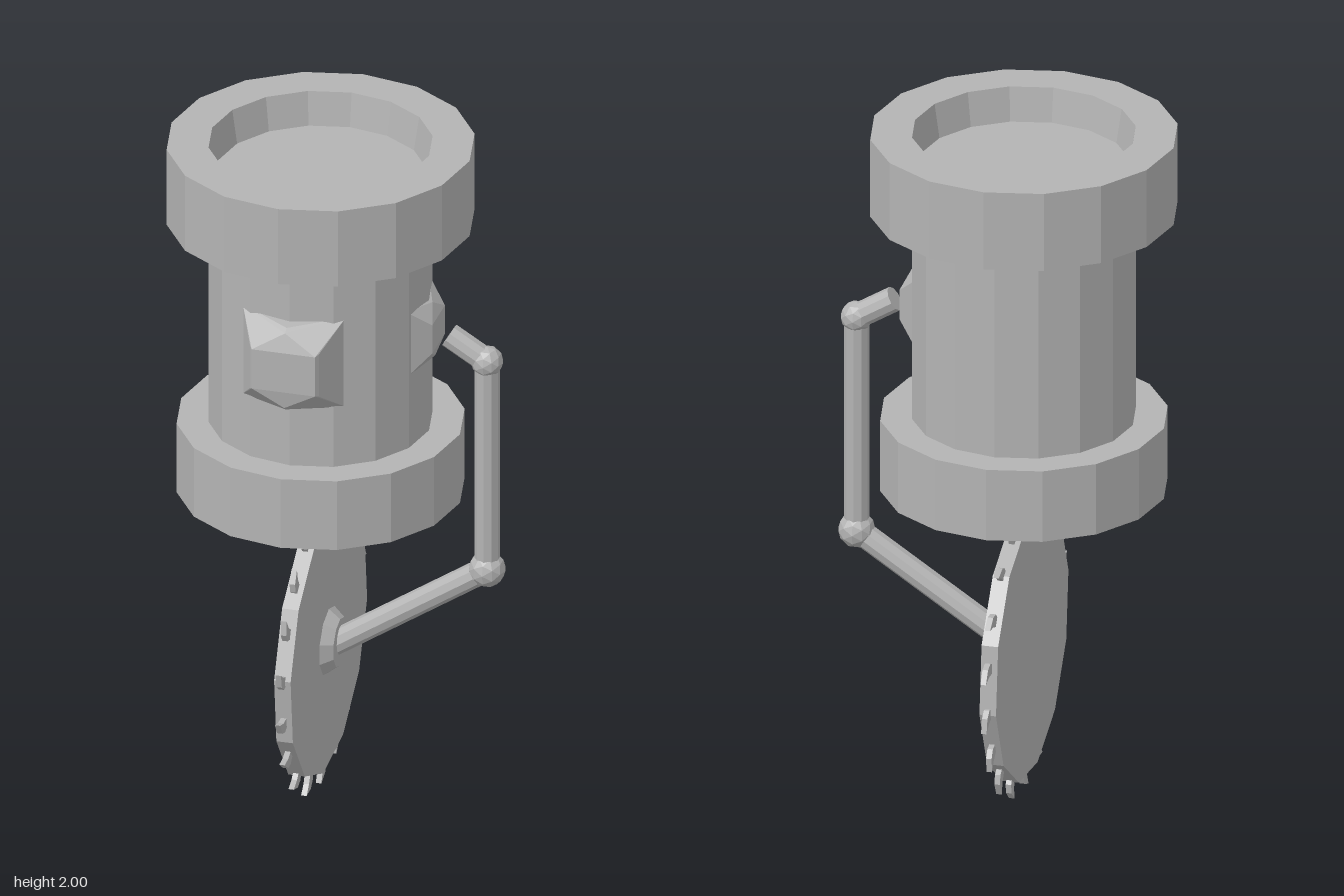
import * as THREE from 'three';
import { ConvexGeometry } from 'three/addons/geometries/ConvexGeometry.js';

const AXIS_X = -0.054;

export function createModel() {
  const model = new THREE.Group();
  const grey = new THREE.MeshStandardMaterial({ color: 0xb3b3b3, flatShading: true });
  grey.name = 'plain grey';

  const add = (name, geometry, parent = model) => {
    const mesh = new THREE.Mesh(geometry, grey);
    mesh.name = name;
    parent.add(mesh);
    return mesh;
  };

  // Sixteen-sided housing, profiles run from the bottom up
  const housing = new THREE.Group();
  housing.name = 'housing';
  housing.position.x = AXIS_X;
  model.add(housing);
  const turn = (name, profile) =>
    add(name, new THREE.LatheGeometry(profile.map(([r, y]) => new THREE.Vector2(r, y)), 16), housing);
  turn('lowerCollar', [[0, 0.925], [0.405, 0.925], [0.405, 1.14], [0.3, 1.14]]);
  turn('body', [[0.315, 1.13], [0.315, 1.77]]);
  turn('upperCollar', [[0.3, 1.765], [0.433, 1.765], [0.433, 2], [0.315, 2], [0.298, 1.9], [0, 1.9]]);

  // Hexagonal bosses swelling out of the body
  const boss = (name, y, halfWidth, halfHeight, hexX, hexY, front, angle) => {
    const base = Math.sqrt(0.305 ** 2 - halfWidth ** 2);
    const points = [];
    for (const sx of [-1, 1]) for (const sy of [-1, 1]) {
      points.push(new THREE.Vector3(sx * halfWidth, sy * halfHeight, base));
      points.push(new THREE.Vector3(sx * hexX, sy * hexY * 0.53, front - 0.012));
      points.push(new THREE.Vector3(sx * hexX * 0.92, sy * hexY * 0.49, front));
    }
    points.push(new THREE.Vector3(0, hexY, front - 0.033));
    points.push(new THREE.Vector3(0, hexY * 0.92, front - 0.018));
    points.push(new THREE.Vector3(0, -hexY, front - 0.022));
    points.push(new THREE.Vector3(0, -hexY * 0.92, front - 0.01));
    const mesh = add(name, new ConvexGeometry(points), housing);
    mesh.position.y = y;
    mesh.rotation.y = angle;
  };
  boss('frontBoss', 1.46, 0.15, 0.14, 0.1, 0.125, 0.378, 0);
  boss('armBoss', 1.46, 0.12, 0.105, 0.07, 0.09, 0.343, Math.PI / 2);

  // Jointed arm
  const path = [[0.32, 1.447], [0.43, 1.38], [0.43, 0.73], [-0.015, 0.435]]
    .map(([x, y]) => new THREE.Vector3(x, y, 0));
  ['upperArm', 'middleArm', 'lowerArm'].forEach((name, i) => {
    const step = path[i + 1].clone().sub(path[i]);
    const rod = add(name, new THREE.CylinderGeometry(0.036, 0.036, step.length(), 10));
    rod.position.copy(path[i]).addScaledVector(step, 0.5);
    rod.quaternion.setFromUnitVectors(new THREE.Vector3(0, 1, 0), step.normalize());
  });
  ['elbow', 'wrist'].forEach((name, i) => {
    add(name, new THREE.IcosahedronGeometry(i ? 0.053 : 0.046, 1)).position.copy(path[i + 1]);
  });

  // Saw blade, drawn in its own plane with the axle along local z
  const saw = new THREE.Group();
  saw.name = 'saw';
  saw.position.set(AXIS_X, 0.44, 0);
  saw.rotation.y = Math.PI / 2;
  model.add(saw);

  const disc = add('blade', new THREE.CylinderGeometry(0.392, 0.392, 0.048, 12), saw);
  disc.geometry.rotateX(Math.PI / 2);
  disc.rotation.z = THREE.MathUtils.degToRad(21.5);

  const hub = add('hub', new THREE.CylinderGeometry(0.072, 0.1, 0.034, 10), saw);
  hub.geometry.rotateX(Math.PI / 2);
  hub.position.z = 0.04;

  // Hooked teeth, all leaning clockwise
  const tooth = new THREE.ExtrudeGeometry(new THREE.Shape([
    [0.36, 0.008], [0.36, -0.012], [0.408, -0.02], [0.439, -0.036], [0.424, 0.004], [0.4, 0.018],
  ].map(([x, y]) => new THREE.Vector2(x, y))), { depth: 0.016, bevelEnabled: false });
  tooth.translate(0, 0, -0.008);
  for (let i = 0; i < 18; i++) {
    add('tooth', tooth, saw).rotation.z = THREE.MathUtils.degToRad(12 + i * 20);
  }
  return model;
}
